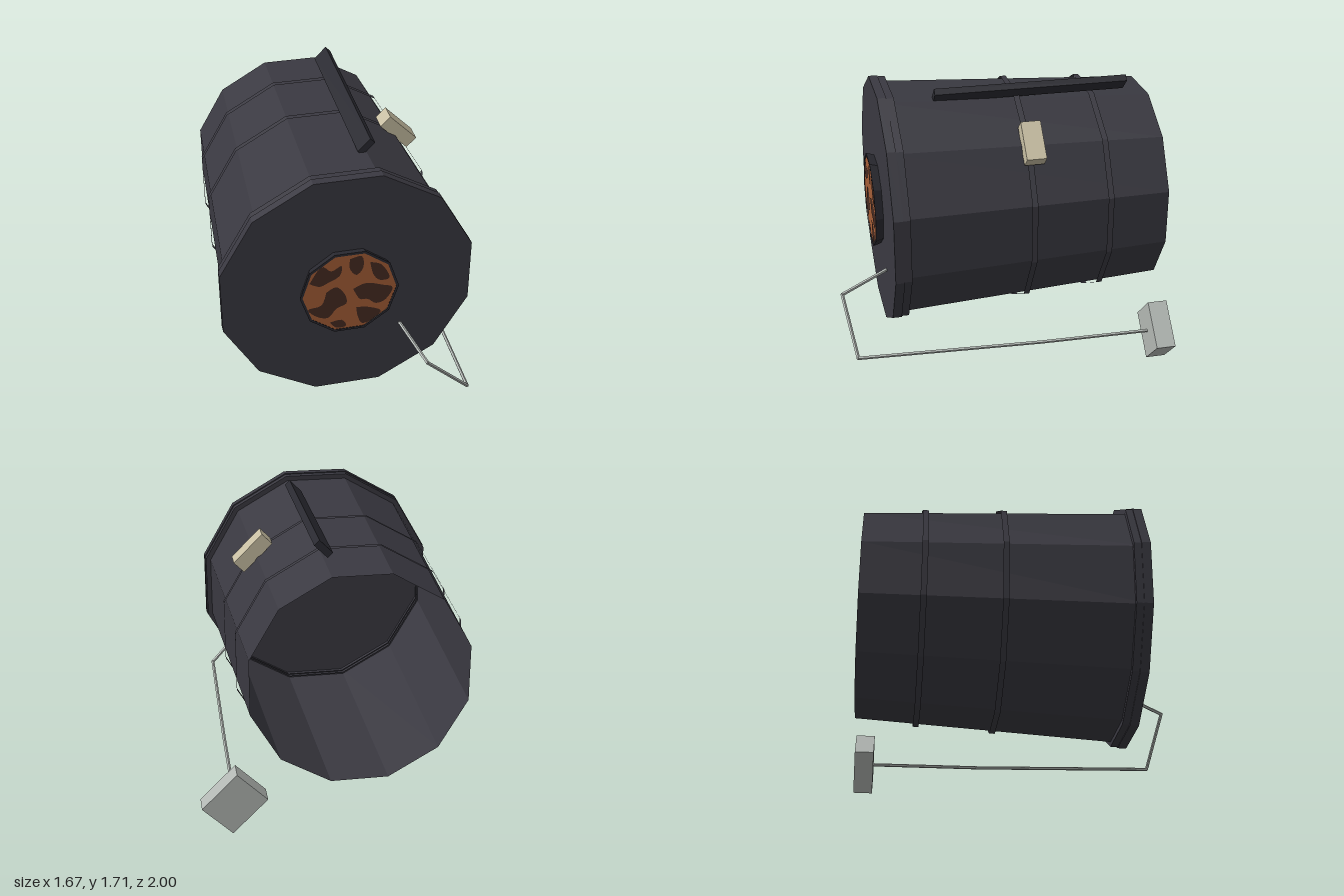
import * as THREE from 'three';

const AXIS_X = -0.085, AXIS_Y = 0.93;

function mat(name, color) {
  return new THREE.MeshStandardMaterial({ name, color, flatShading: true, side: THREE.DoubleSide });
}

export function createModel() {
  const iron = mat('dark iron', 0x3a3941);
  const black = mat('black iron', 0x2a2a31);
  const orange = mat('glowing orange', 0xa65e37);
  const brown = mat('charred brown', 0x462b21);
  const steel = mat('grey steel', 0xb2b7b3);
  const brass = mat('pale beige', 0xc8bfa3);

  const model = new THREE.Group();
  const drum = new THREE.Group();
  drum.name = 'drum';
  drum.position.set(AXIS_X, AXIS_Y, 0);
  model.add(drum);

  function add(parent, name, geometry, material, x = 0, y = 0, z = 0) {
    const mesh = new THREE.Mesh(geometry, material);
    mesh.name = name;
    mesh.position.set(x, y, z);
    parent.add(mesh);
    return mesh;
  }

  // Polygonal tube along z with flats at top and bottom; radii are corner radii
  function tube(name, sides, rFront, rBack, zFront, zBack, material) {
    const g = new THREE.CylinderGeometry(rFront, rBack, zFront - zBack, sides, 1, true, Math.PI / sides);
    g.rotateX(Math.PI / 2);
    return add(drum, name, g, material, 0, 0, (zFront + zBack) / 2);
  }

  // Flat polygonal annulus facing +z, matching the tubes
  function annulus(name, sides, inner, outer, z, material) {
    const start = Math.PI / 2 + Math.PI / sides;
    return add(drum, name, new THREE.RingGeometry(inner, outer, sides, 1, start), material, 0, 0, z);
  }

  // Tapered open barrel, its front plate and the stepped rim
  tube('barrel', 12, 0.744, 0.653, 0.69, -1, iron);
  const plate = new THREE.CircleGeometry(0.7765, 12, Math.PI / 12);
  add(drum, 'frontPlate', plate, iron, 0, 0, 0.7);
  tube('frontRim', 12, 0.7765, 0.7765, 0.7, 0.645, iron);
  annulus('frontRimBack', 12, 0.735, 0.7765, 0.645, iron);
  tube('rearRim', 12, 0.77, 0.77, 0.645, 0.6, iron);
  annulus('rearRimBack', 12, 0.73, 0.77, 0.6, iron);

  // Hoops standing just clear of the barrel
  for (const [z, r] of [[-0.15, 0.716], [-0.625, 0.692]]) {
    tube('hoop', 12, r, r, z + 0.018, z - 0.018, iron);
  }

  // Fire door: flared frame, ember disc and charred patches
  tube('doorFrame', 10, 0.298, 0.282, 0.75, 0.7, black);
  annulus('doorLip', 10, 0.282, 0.298, 0.75, black);
  add(drum, 'embers', new THREE.CircleGeometry(0.284, 10, Math.PI / 2 + Math.PI / 10), orange, 0, 0, 0.745);

  const patches = [
    [[-0.24, 0.1], [-0.17, 0.21], [-0.11, 0.17], [-0.05, 0.2], [-0.06, 0.13], [-0.13, 0.09], [-0.18, 0.07]],
    [[0.0, 0.24], [0.07, 0.25], [0.08, 0.17], [0.04, 0.12], [0.0, 0.17]],
    [[0.12, 0.2], [0.19, 0.17], [0.24, 0.07], [0.18, 0.06], [0.14, 0.11]],
    [[-0.14, 0.02], [-0.08, 0.05], [-0.03, -0.01], [-0.02, -0.08], [-0.08, -0.11], [-0.13, -0.17],
      [-0.2, -0.15], [-0.25, -0.09], [-0.17, -0.07]],
    [[0.02, 0.02], [0.1, 0.05], [0.2, 0.02], [0.26, -0.01], [0.22, -0.09], [0.16, -0.11],
      [0.11, -0.07], [0.06, -0.06]],
    [[0.04, -0.12], [0.11, -0.13], [0.19, -0.17], [0.15, -0.22], [0.08, -0.25], [0.05, -0.19]],
    [[-0.12, -0.21], [-0.05, -0.2], [-0.02, -0.25], [-0.08, -0.255]],
  ];
  for (const points of patches) {
    const curve = new THREE.SplineCurve([...points, points[0]].map(([x, y]) => new THREE.Vector2(x, y)));
    const shape = new THREE.Shape(curve.getPoints(points.length * 4).slice(0, -1));
    add(drum, 'charPatch', new THREE.ShapeGeometry(shape), brown, 0, 0, 0.748);
  }

  // Blocks tilted 45 degrees about z
  function tilted(name, w, h, d, material, x, y, z) {
    add(model, name, new THREE.BoxGeometry(w, h, d), material, x, y, z).rotation.z = -Math.PI / 4;
  }
  tilted('topRail', 0.042, 0.106, 1.19, black, 0.1025, 1.665, -0.235);
  tilted('sideLatch', 0.243, 0.087, 0.12, brass, 0.43, 1.448, -0.17);
  tilted('counterweight', 0.294, 0.249, 0.12, steel, 0.645, 0.195, -0.94);

  // Bent rod running from the front plate to the counterweight
  const path = [
    [0.24, 0.6, 0.695], [0.335, 0.508, 0.99], [0.617, 0.22, 0.938], [0.637, 0.195, -0.2], [0.643, 0.192, -0.9],
  ].map((p) => new THREE.Vector3(...p));
  const rod = new THREE.Group();
  rod.name = 'bentRod';
  model.add(rod);
  for (let i = 0; i < path.length - 1; i++) {
    const span = path[i + 1].clone().sub(path[i]);
    const g = new THREE.CylinderGeometry(0.011, 0.011, span.length() + 0.008, 5);
    const mesh = add(rod, 'rodSection', g, steel);
    mesh.position.copy(path[i]).addScaledVector(span, 0.5);
    mesh.quaternion.setFromUnitVectors(new THREE.Vector3(0, 1, 0), span.normalize());
  }

  return model;
}
